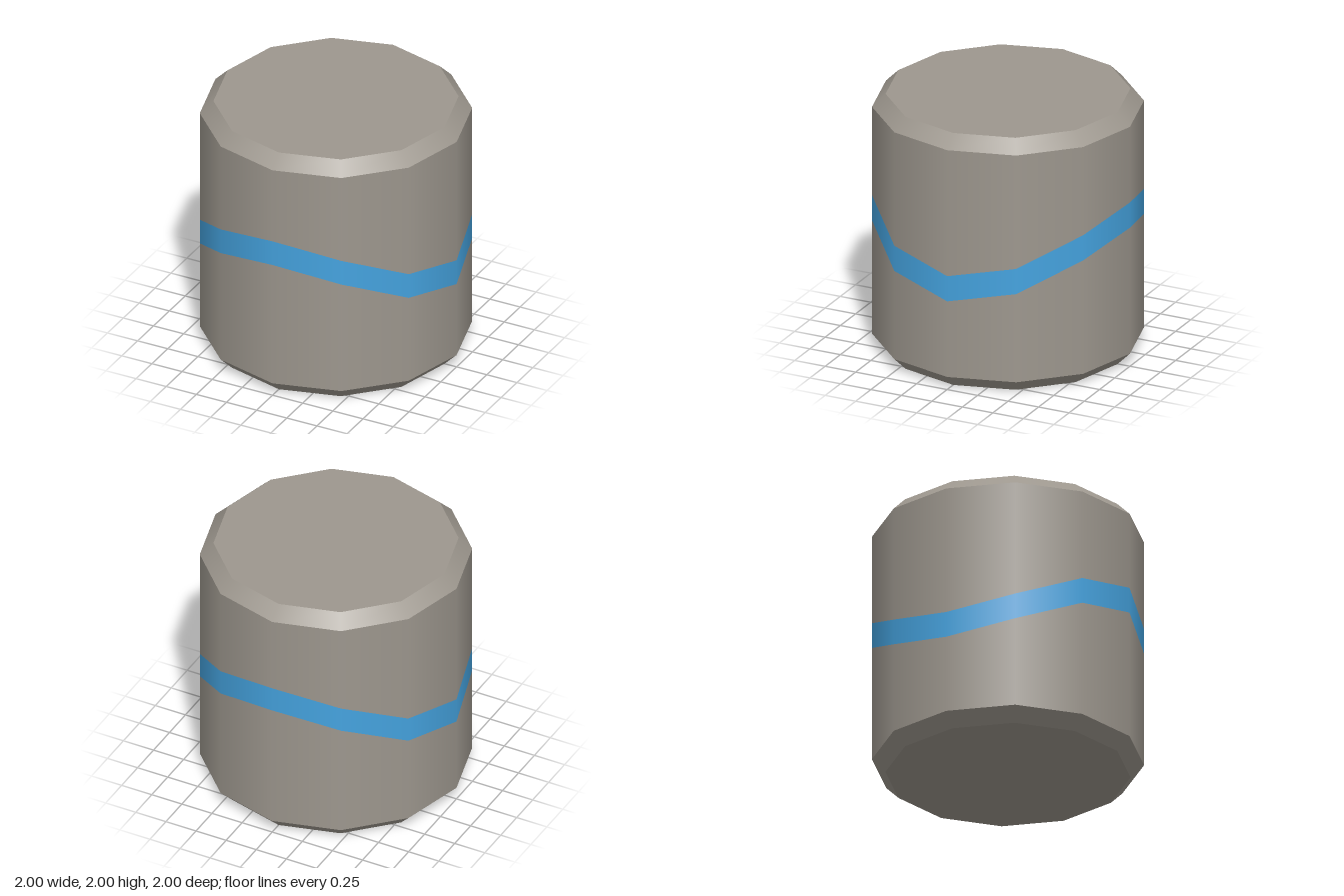
import * as THREE from 'three';

const SIDES = 12;
const RADIUS = 1, CAP_RADIUS = 0.9;
const HEIGHT = 2, BEVEL = 0.1, BAND = 0.2;

// Height of the band's middle line: two crests (front, back), two dips (sides)
const waveHeight = (x, z) => 1 + 0.2 * (z * z - x * x);

export function createModel() {
  const model = new THREE.Group();
  model.name = 'bandedDrum';

  const stone = new THREE.MeshStandardMaterial({ color: 0x9d978e });
  stone.name = 'warm grey';
  const blue = new THREE.MeshStandardMaterial({ color: 0x45a3df });
  blue.name = 'sky blue';

  const add = (name, geometry, material, y = 0) => {
    const mesh = new THREE.Mesh(geometry, material);
    mesh.name = name;
    mesh.position.y = y;
    model.add(mesh);
    return mesh;
  };

  // Open ring of wall whose lower and upper rims follow the given heights
  const wall = (low, high) => {
    const geometry = new THREE.CylinderGeometry(RADIUS, RADIUS, 1, SIDES, 1, true);
    const p = geometry.attributes.position;
    for (let i = 0; i < p.count; i++) {
      const rim = p.getY(i) > 0 ? high : low;
      p.setY(i, rim(p.getX(i), p.getZ(i)));
    }
    return geometry;
  };
  const bandLow = (x, z) => waveHeight(x, z) - BAND / 2;
  const bandHigh = (x, z) => waveHeight(x, z) + BAND / 2;

  // Side wall, split by the wavy band
  add('lowerWall', wall(() => BEVEL, bandLow), stone);
  add('wavyBand', wall(bandLow, bandHigh), blue);
  add('upperWall', wall(bandHigh, () => HEIGHT - BEVEL), stone);

  // Bevelled rims
  const bevel = (top, bottom) =>
    new THREE.CylinderGeometry(top, bottom, BEVEL, SIDES, 1, true);
  add('topBevel', bevel(CAP_RADIUS, RADIUS), stone, HEIGHT - BEVEL / 2);
  add('bottomBevel', bevel(RADIUS, CAP_RADIUS), stone, BEVEL / 2);

  // Flat end faces
  const cap = new THREE.CircleGeometry(CAP_RADIUS, SIDES);
  add('topFace', cap, stone, HEIGHT).rotation.x = -Math.PI / 2;
  add('bottomFace', cap, stone, 0).rotation.x = Math.PI / 2;

  return model;
}
